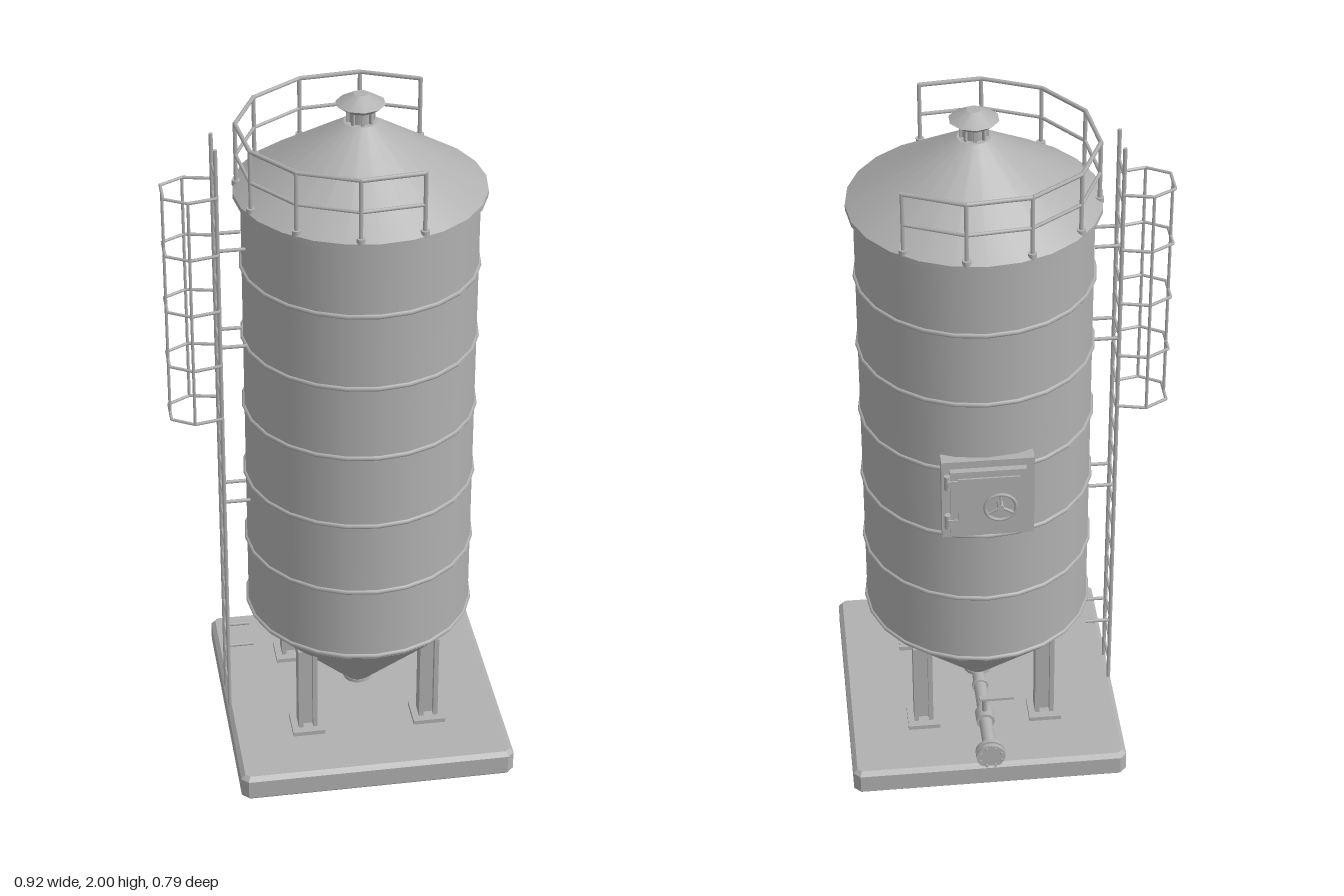
import * as THREE from 'three';

const steel = new THREE.MeshStandardMaterial({ color: 0xb0b0b0 });
steel.name = 'steel grey';

const CX = 0.065; // axis of the silo
const SIDES = 24;
const UP = new THREE.Vector3(0, 1, 0);

function add(parent, name, geometry, x = 0, y = 0, z = 0) {
  const mesh = new THREE.Mesh(geometry, steel);
  mesh.name = name;
  mesh.position.set(x, y, z);
  parent.add(mesh);
  return mesh;
}

function group(parent, name, x = 0, y = 0, z = 0) {
  const g = new THREE.Group();
  g.name = name;
  g.position.set(x, y, z);
  parent.add(g);
  return g;
}

const box = (parent, name, w, h, d, x, y, z) => add(parent, name, new THREE.BoxGeometry(w, h, d), x, y, z);

// Upright cylinder or cone between two heights
function drum(parent, name, rTop, rBottom, y0, y1, sides = SIDES, open = false) {
  return add(parent, name, new THREE.CylinderGeometry(rTop, rBottom, y1 - y0, sides, 1, open), 0, (y0 + y1) / 2, 0);
}

// Round bar between two points
function bar(parent, name, a, b, r, sides = 6) {
  const p = new THREE.Vector3(...a), q = new THREE.Vector3(...b);
  const dir = q.clone().sub(p);
  const mesh = add(parent, name, new THREE.CylinderGeometry(r, r, dir.length(), sides));
  mesh.position.copy(p).add(q).multiplyScalar(0.5);
  mesh.quaternion.setFromUnitVectors(UP, dir.normalize());
  return mesh;
}

function polyline(parent, name, points, r) {
  for (let i = 1; i < points.length; i++) bar(parent, name, points[i - 1], points[i], r);
}

// Chamfered foundation slab
function buildSlab(root) {
  const c = 0.012, h = 0.395 - c, k = h - c;
  const shape = new THREE.Shape([[k, -h], [h, -k], [h, k], [k, h], [-k, h], [-h, k], [-h, -k], [-k, -h]]
    .map(([x, y]) => new THREE.Vector2(x, y)));
  const geo = new THREE.ExtrudeGeometry(shape, {
    depth: 0.08 - 2 * c, bevelEnabled: true, bevelSegments: 1, bevelSize: c, bevelThickness: c });
  geo.rotateX(-Math.PI / 2);
  add(root, 'foundationSlab', geo, 0, c, 0);
}

function buildTank(root) {
  const tank = group(root, 'tank');
  drum(tank, 'shell', 0.32, 0.32, 0.41, 1.73);
  drum(tank, 'hopper', 0.32, 0.03, 0.112, 0.41);
  for (const y of [0.42, 0.64, 0.86, 1.08, 1.297, 1.515]) {
    add(tank, 'seamRing', new THREE.TorusGeometry(0.32, 0.007, 6, SIDES).rotateX(Math.PI / 2), 0, y, 0);
  }
  // Roof with eave and capped vent
  drum(tank, 'roofEave', 0.34, 0.34, 1.722, 1.737);
  drum(tank, 'roof', 0.045, 0.34, 1.737, 1.922);
  drum(tank, 'ventNeck', 0.03, 0.03, 1.9, 1.965, 12);
  for (let i = 0; i < 8; i++) {
    const a = i * Math.PI / 4;
    box(tank, 'ventSlat', 0.008, 0.05, 0.008, 0.034 * Math.cos(a), 1.94, 0.034 * Math.sin(a)).rotation.y = -a;
  }
  drum(tank, 'ventCapUnderside', 0.067, 0.042, 1.955, 1.973, 10);
  drum(tank, 'ventCap', 0.02, 0.067, 1.973, 2.0, 10);
}

// Four I-beam legs on foot plates
function buildLegs(root) {
  for (const sx of [-1, 1]) for (const sz of [-1, 1]) {
    const leg = group(root, 'leg', sx * 0.177, 0, sz * 0.177);
    box(leg, 'footPlate', 0.093, 0.014, 0.093, 0, 0.086, 0);
    for (const s of [-1, 1]) box(leg, 'flange', 0.013, 0.275, 0.048, s * 0.021, 0.2275, 0);
    box(leg, 'web', 0.03, 0.275, 0.012, 0, 0.2275, 0);
  }
}

// Discharge pipe leading out to the back
function buildPipe(root) {
  const pipe = group(root, 'dischargePipe');
  const Y = 0.106;
  drum(pipe, 'outletFlange', 0.042, 0.042, 0.112, 0.122, 16);
  const elbow = new THREE.QuadraticBezierCurve3(
    new THREE.Vector3(0, 0.135, 0), new THREE.Vector3(0, Y, 0), new THREE.Vector3(0, Y, -0.05));
  add(pipe, 'elbow', new THREE.TubeGeometry(elbow, 6, 0.019, 12));
  const ring = (name, z0, z1, r) => bar(pipe, name, [0, Y, z0], [0, Y, z1], r, 16);
  ring('pipe', -0.045, -0.39, 0.019);
  ring('collar', -0.075, -0.085, 0.024);
  ring('valveBody', -0.195, -0.24, 0.027);
  bar(pipe, 'valveStem', [0, Y, -0.218], [0, 0.178, -0.218], 0.008, 8);
  box(pipe, 'valveLever', 0.1, 0.008, 0.016, -0.035, 0.176, -0.218);
  ring('endFlange', -0.36, -0.372, 0.042);
  ring('endCover', -0.378, -0.39, 0.042);
  for (let i = 0; i < 8; i++) {
    const a = (i + 0.5) * Math.PI / 4, x = 0.033 * Math.cos(a), y = Y + 0.033 * Math.sin(a);
    bar(pipe, 'flangeBolt', [x, y, -0.355], [x, y, -0.395], 0.005);
  }
}

// Access hatch with hinges and handwheel on the back
function buildHatch(root) {
  const hatch = group(root, 'hatch', 0, 1, 0);
  box(hatch, 'hatchFrame', 0.25, 0.25, 0.05, 0, 0, -0.308);
  box(hatch, 'hatchDoor', 0.206, 0.206, 0.02, 0, 0, -0.341);
  box(hatch, 'hatchPanel', 0.166, 0.166, 0.006, 0, 0, -0.353);
  for (const y of [-0.065, 0.065]) {
    bar(hatch, 'hinge', [0.11, y - 0.022, -0.341], [0.11, y + 0.022, -0.341], 0.009, 10);
    box(hatch, 'hingeStrap', 0.04, 0.024, 0.006, 0.09, y, -0.352);
  }
  const wheel = group(hatch, 'handwheel', -0.029, 0, -0.377);
  add(wheel, 'wheelRim', new THREE.TorusGeometry(0.042, 0.005, 6, 20));
  bar(wheel, 'wheelShaft', [0, 0, 0.03], [0, 0, -0.006], 0.009, 10);
  for (let i = 0; i < 3; i++) {
    const a = Math.PI / 2 + i * Math.PI * 2 / 3;
    bar(wheel, 'wheelSpoke', [0, 0, 0], [0.042 * Math.cos(a), 0.042 * Math.sin(a), 0], 0.004);
  }
}

// Roof guard rail: nine posts with two rails, open towards the left
function buildRailing(root) {
  const railing = group(root, 'railing');
  const posts = [];
  for (let i = 0; i < 9; i++) {
    const a = THREE.MathUtils.degToRad(69 + 30 * i);
    posts.push([0.328 * Math.cos(a), 0.328 * Math.sin(a)]);
  }
  for (const [x, z] of posts) {
    bar(railing, 'railPost', [x, 1.735, z], [x, 1.915, z], 0.006);
    bar(railing, 'postBase', [x, 1.735, z], [x, 1.75, z], 0.012, 10);
  }
  for (const y of [1.912, 1.823]) {
    polyline(railing, 'rail', posts.map(([x, z]) => [x, y, z]), y > 1.9 ? 0.006 : 0.005);
  }
}

// Ladder with safety cage on the right side
function buildLadder(root) {
  const ladder = group(root, 'ladder');
  const X = -0.323;
  for (const z of [-0.05, 0.05]) {
    bar(ladder, 'ladderRail', [X, 0.08, z], [X, 1.89, z], 0.006);
    for (const y of [0.3, 0.8, 1.3, 1.595]) bar(ladder, 'wallBracket', [X, y, z], [-0.25, y, z], 0.005);
  }
  for (let i = 0; i < 21; i++) {
    const y = 0.145 + i * 0.083;
    bar(ladder, 'rung', [X, y, -0.05], [X, y, 0.05], 0.004);
  }
  const hoop = [[X, -0.05], [X, -0.06], [-0.4, -0.077], [-0.461, -0.041],
    [-0.461, 0.041], [-0.4, 0.077], [X, 0.06], [X, 0.05]];
  for (const y of [1.08, 1.248, 1.417, 1.586, 1.755]) {
    polyline(ladder, 'cageHoop', hoop.map(([x, z]) => [x, y, z]), 0.0045);
  }
  for (const [x, z] of [[-0.4, -0.077], [-0.461, 0], [-0.4, 0.077]]) {
    bar(ladder, 'cageStrip', [x, 1.08, z], [x, 1.755, z], 0.0045);
  }
}

export function createModel() {
  const model = new THREE.Group();
  model.name = 'storageSilo';
  const silo = group(model, 'silo', CX, 0, 0);
  for (const build of [buildSlab, buildTank, buildLegs, buildPipe, buildHatch, buildRailing]) build(silo);
  buildLadder(model);
  return model;
}
